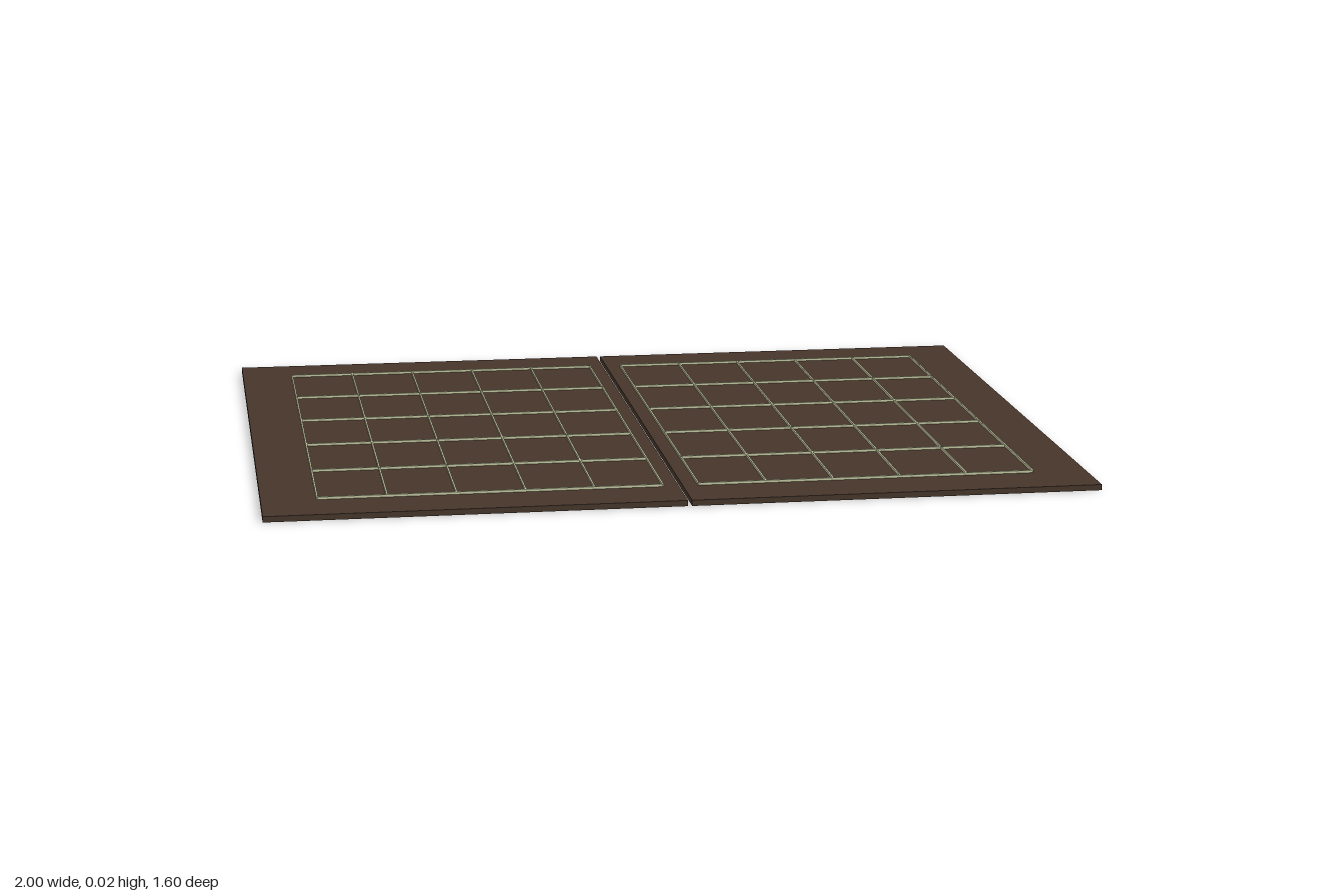
import * as THREE from 'three';

export function createModel() {
  const model = new THREE.Group();
  model.name = 'twoPanelBoard';
  const boardMat = new THREE.MeshStandardMaterial({ color: 0x46352a });
  const lineMat = new THREE.MeshStandardMaterial({ color: 0xc4c8a2 });

  const box = (parent, name, mat, size, pos) => {
    const mesh = new THREE.Mesh(new THREE.BoxGeometry(...size), mat);
    mesh.name = name;
    mesh.position.set(...pos);
    parent.add(mesh);
  };

  const top = 0.014, gap = 0.01, depth = 1.6;
  const inner = 0.043, outer = 0.867, halfZ = 0.661;
  const cells = 5, lineH = 0.006;
  const lineY = top + lineH / 2;

  for (const side of [1, -1]) {
    const half = new THREE.Group();
    half.name = side > 0 ? 'leftPanel' : 'rightPanel';
    model.add(half);

    // Flat panel, separated from its twin by a narrow gap
    const w = 1 - gap / 2;
    box(half, 'panel', boardMat, [w, top, depth], [side * (1 - w / 2), top / 2, 0]);

    // Raised grid lines, five cells each way
    for (let i = 0; i <= cells; i++) {
      const t = i / cells;
      const x = side * THREE.MathUtils.lerp(inner, outer, t);
      const z = THREE.MathUtils.lerp(-halfZ, halfZ, t);
      box(half, 'crossLine', lineMat, [outer - inner, lineH, 0.007], [side * (inner + outer) / 2, lineY, z]);
      box(half, 'lengthLine', lineMat, [0.004, lineH, halfZ * 2], [x, lineY - 0.0005, 0]);
    }
  }
  return model;
}
